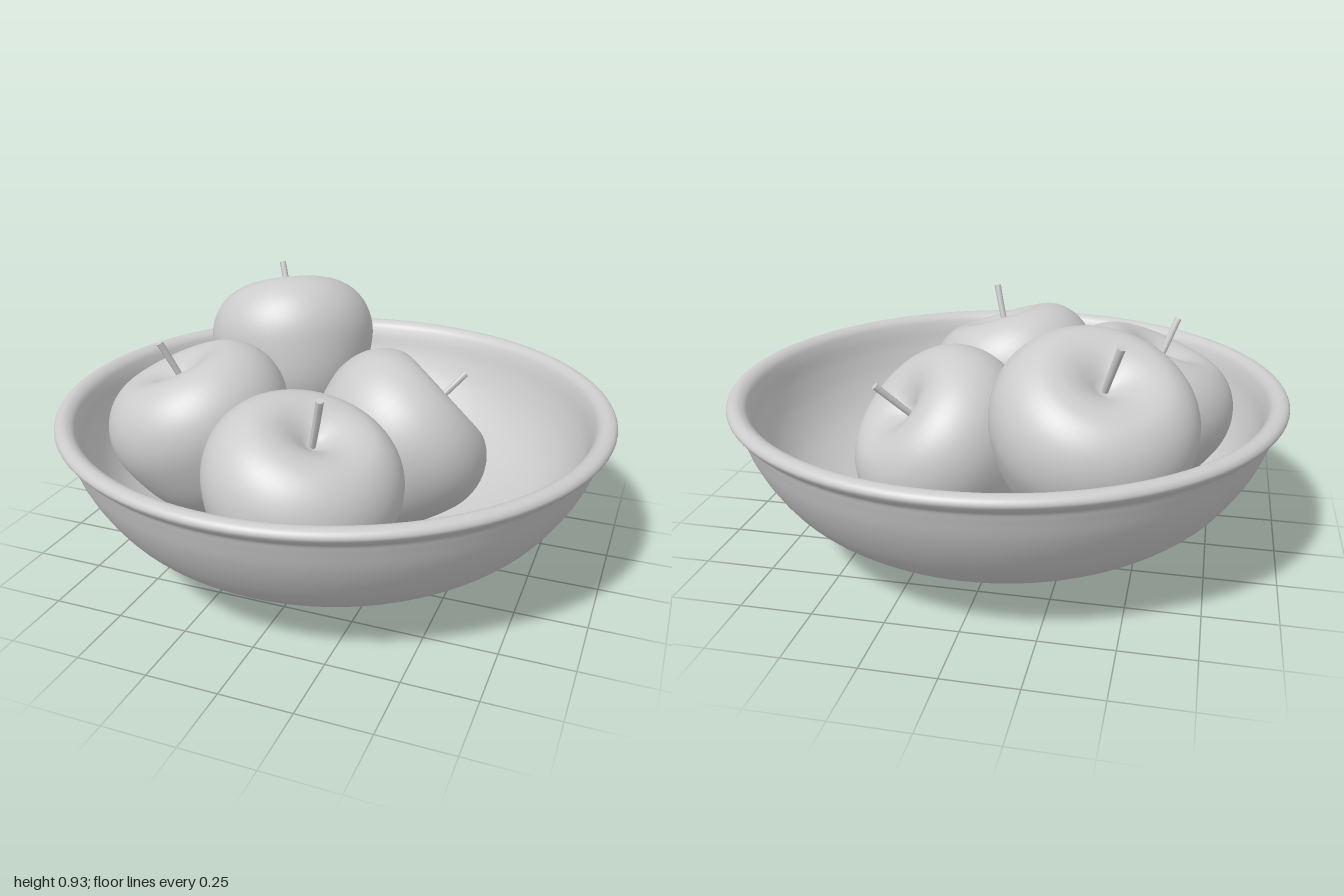
import * as THREE from 'three';

const material = new THREE.MeshStandardMaterial({ color: 0xcccccc, roughness: 0.7 });

// Smooth turned surface through a few [radius, height] points
function turned(points, steps, segments) {
  const curve = new THREE.CatmullRomCurve3(points.map(([r, y]) => new THREE.Vector3(r, y, 0)), false, 'centripetal');
  const profile = curve.getPoints(steps).map(p => new THREE.Vector2(Math.max(0, p.x), p.y));
  return new THREE.LatheGeometry(profile, segments);
}

// Outside wall, rolled rim, then inside wall
const bowlProfile = [
  [0, 0], [0.1, 0.002], [0.25, 0.025], [0.42, 0.055], [0.61, 0.11], [0.73, 0.175], [0.82, 0.252],
  [0.888, 0.345], [0.932, 0.43], [0.958, 0.505], [0.969, 0.535], [0.988, 0.552], [1, 0.572],
  [0.991, 0.589], [0.965, 0.596], [0.938, 0.582], [0.922, 0.55], [0.9, 0.47], [0.86, 0.375],
  [0.79, 0.28], [0.69, 0.205], [0.57, 0.15], [0.33, 0.08], [0, 0.05],
];

// Apple about its own centre, from the bottom hollow to the stem hollow
const appleProfile = [
  [0, -0.235], [0.04, -0.25], [0.1, -0.28], [0.17, -0.26], [0.25, -0.18], [0.31, -0.05],
  [0.333, 0.05], [0.32, 0.14], [0.275, 0.213], [0.21, 0.256], [0.15, 0.261],
  [0.1, 0.247], [0.055, 0.222], [0.025, 0.202], [0, 0.195],
];

// Size, centre, leaning axis, and tip of the stem for each apple
const apples = [
  { name: 'backApple', size: 1, centre: [-0.36, 0.592, -0.455], axis: [-0.26, 0.88, -0.39], tip: [-0.462, 0.92, -0.582] },
  { name: 'rightApple', size: 1.03, centre: [0.178, 0.385, -0.138], axis: [0.62, 0.66, -0.42], tip: [0.41, 0.64, -0.29] },
  { name: 'leftApple', size: 1.015, centre: [-0.46, 0.46, 0.15], axis: [-0.36, 0.92, 0.1], tip: [-0.592, 0.8, 0.22] },
  { name: 'frontApple', size: 1, centre: [0.055, 0.445, 0.48], axis: [0.3, 0.93, 0.13], tip: [0.16, 0.81, 0.552] },
];

// Slightly bent stem, widening a little at the free end
function stemGeometry(base, tip, axis) {
  const length = base.distanceTo(tip);
  const bend = base.clone().lerp(tip, 0.4).addScaledVector(axis, length * 0.12);
  const curve = new THREE.QuadraticBezierCurve3(base, bend, tip);
  const geometry = new THREE.CylinderGeometry(0.013, 0.011, 1, 10, 8);
  const pos = geometry.attributes.position;
  const up = new THREE.Vector3(0, 1, 0);
  for (let i = 0; i < pos.count; i++) {
    const t = pos.getY(i) + 0.5;
    const turn = new THREE.Quaternion().setFromUnitVectors(up, curve.getTangent(t));
    const p = new THREE.Vector3(pos.getX(i), 0, pos.getZ(i)).applyQuaternion(turn).add(curve.getPoint(t));
    pos.setXYZ(i, p.x, p.y, p.z);
  }
  geometry.computeVertexNormals();
  return geometry;
}

export function createModel() {
  const model = new THREE.Group();
  model.name = 'fruitBowl';

  const bowl = new THREE.Mesh(turned(bowlProfile, 120, 96), material);
  bowl.name = 'bowl';
  model.add(bowl);

  const fleshGeometry = turned(appleProfile, 60, 56);
  for (const { name, size, centre, axis, tip } of apples) {
    const apple = new THREE.Group();
    apple.name = name;
    const c = new THREE.Vector3(...centre);
    const a = new THREE.Vector3(...axis).normalize();

    const flesh = new THREE.Mesh(fleshGeometry, material);
    flesh.name = 'flesh';
    flesh.position.copy(c);
    flesh.quaternion.setFromUnitVectors(new THREE.Vector3(0, 1, 0), a);
    flesh.scale.setScalar(size);

    // The stem starts just under the bottom of the hollow
    const base = c.clone().addScaledVector(a, 0.185 * size);
    const stem = new THREE.Mesh(stemGeometry(base, new THREE.Vector3(...tip), a), material);
    stem.name = 'stem';

    apple.add(flesh, stem);
    model.add(apple);
  }
  return model;
}
